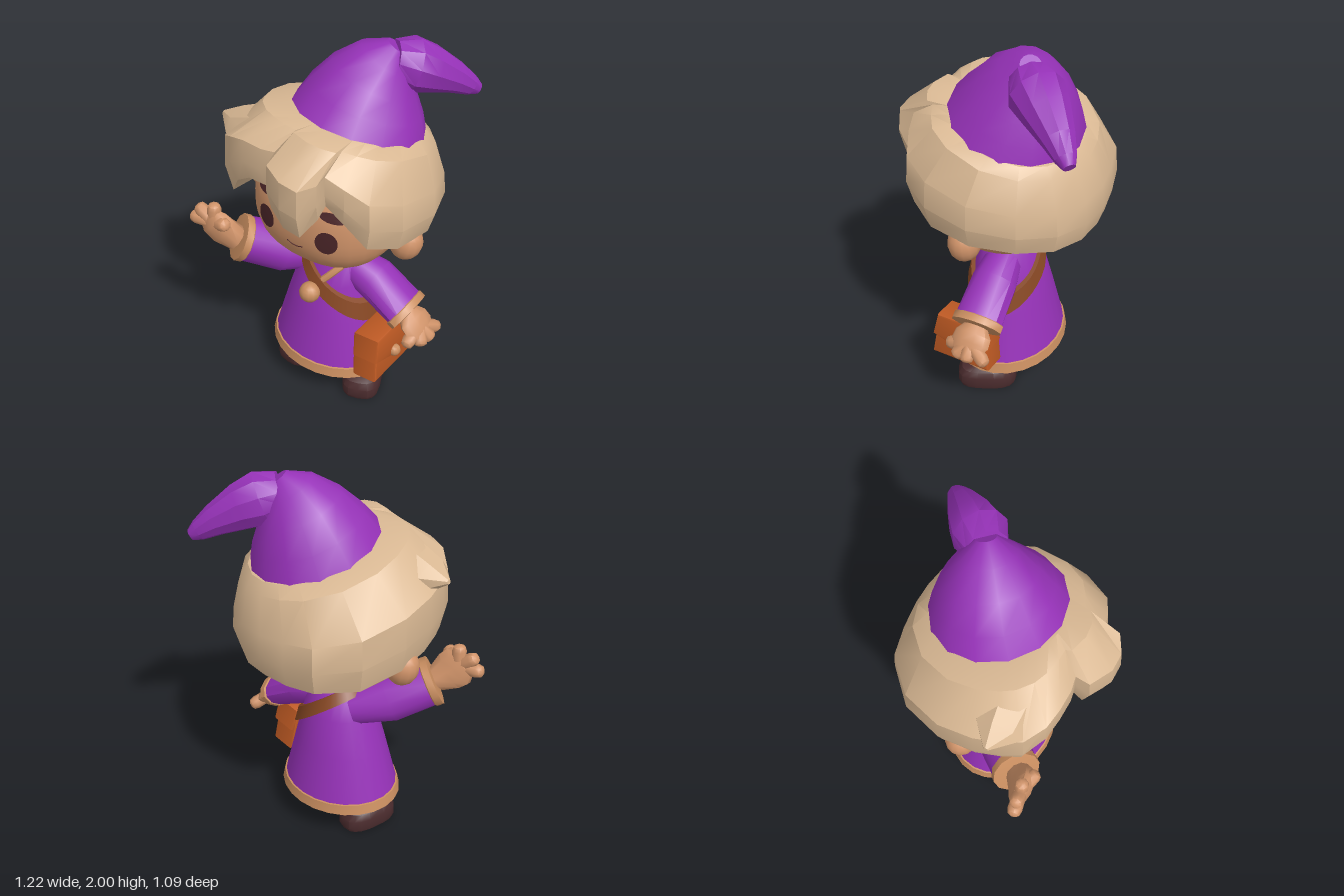
import * as THREE from 'three';
import { toCreasedNormals } from 'three/addons/utils/BufferGeometryUtils.js';

const V = (x, y, z) => new THREE.Vector3(x, y, z);
const { lerp, clamp, degToRad } = THREE.MathUtils;

const colors = { skin: 0xd1946a, trim: 0xc98e60, hair: 0xdab994, purple: 0x9632b8, strap: 0x864723,
  bag: 0xbd5923, shoe: 0x4a2b2d, eye: 0x4a2528 };
const mats = {};
for (const [name, color] of Object.entries(colors)) {
  mats[name] = new THREE.MeshStandardMaterial({ color });
  mats[name].name = name;
}

function add(parent, name, geo, mat, crease = 0.6) {
  const mesh = new THREE.Mesh(crease ? toCreasedNormals(geo, crease) : geo, mats[mat]);
  mesh.name = name;
  parent.add(mesh);
  return mesh;
}

// Skin a stack of closed rings, with optional fan caps
function loft(rings, capStart = true, capEnd = true) {
  const n = rings[0].length, pos = [], idx = [];
  rings.forEach(r => r.forEach(p => pos.push(p.x, p.y, p.z)));
  for (let j = 0; j < rings.length - 1; j++) for (let i = 0; i < n; i++) {
    const a = j * n + i, b = j * n + (i + 1) % n;
    idx.push(a, b, b + n, a, b + n, a + n);
  }
  const cap = (j, flip) => {
    const c = rings[j].reduce((s, p) => s.add(p), V(0, 0, 0)).divideScalar(n);
    const k = pos.push(c.x, c.y, c.z) / 3 - 1;
    for (let i = 0; i < n; i++) {
      const a = j * n + i, b = j * n + (i + 1) % n;
      flip ? idx.push(k, b, a) : idx.push(k, a, b);
    }
  };
  if (capStart) cap(0, true);
  if (capEnd) cap(rings.length - 1, false);
  const g = new THREE.BufferGeometry();
  g.setAttribute('position', new THREE.Float32BufferAttribute(pos, 3));
  g.setIndex(idx);
  return g;
}

// Tapered limb through rows of [x, y, z, radius, second radius]
function limb(rows, n = 12) {
  const c = rows.map(r => V(r[0], r[1], r[2]));
  return loft(rows.map((r, j) => {
    const t = c[Math.min(j + 1, c.length - 1)].clone().sub(c[Math.max(j - 1, 0)]).normalize();
    const ref = Math.abs(t.z) > 0.95 ? V(0, 1, 0) : V(0, 0, 1);
    const u = ref.addScaledVector(t, -ref.dot(t)).normalize(), v = t.clone().cross(u);
    return Array.from({ length: n }, (_, i) => {
      const a = i / n * Math.PI * 2;
      return c[j].clone().addScaledVector(u, Math.cos(a) * r[3]).addScaledVector(v, Math.sin(a) * (r[4] ?? r[3]));
    });
  }));
}

// Robe profile: y, half width, half depth, centre x; the neckline dips at the front
const robeRows = [[0.19, 0.345, 0.285, 0.005], [0.25, 0.328, 0.272, 0.005], [0.5, 0.258, 0.222, 0.005],
  [0.7, 0.197, 0.182, 0.01], [0.82, 0.16, 0.142, 0.02], [0.88, 0.115, 0.105, 0.03]];
function robeAt(y) {
  let j = 0;
  while (j < robeRows.length - 2 && y > robeRows[j + 1][0]) j++;
  const a = robeRows[j], b = robeRows[j + 1], t = clamp((y - a[0]) / (b[0] - a[0]), 0, 1);
  return a.map((v, k) => lerp(v, b[k], t));
}
function robePoint(y, a, out = 0) {
  const [, rx, rz, cx] = robeAt(y);
  const x = cx + Math.sin(a) * (rx + out);
  const dip = y < 0.3 ? 0.05 * x : y > 0.86 ? 0.05 * Math.max(0, Math.cos(a)) : 0;
  return V(x, y - dip, 0.015 + Math.cos(a) * (rz + out));
}
const around = (n, f) => Array.from({ length: n }, (_, i) => f(i / n * Math.PI * 2));

// Rounded head form and its front surface
const H = { x: 0.03, y: 1.2, z: 0.035, rx: 0.385, ry: 0.325, rz: 0.35, n: 2.5 };
function faceZ(x, y) {
  const s = 1 - Math.abs((x - H.x) / H.rx) ** H.n - Math.abs((y - H.y) / H.ry) ** H.n;
  return H.z + H.rz * Math.max(s, 0) ** (1 / H.n);
}
function facePatch(x, y, w, h, roll) {
  const g = new THREE.CircleGeometry(1, 24).scale(w, h, 1).rotateZ(roll).translate(x, y, 0);
  const p = g.attributes.position;
  for (let i = 0; i < p.count; i++) p.setZ(i, faceZ(p.getX(i), p.getY(i)) + 0.009);
  g.computeVertexNormals();
  return g;
}

function buildHead(root) {
  const g = new THREE.SphereGeometry(1, 32, 22), p = g.attributes.position;
  for (let i = 0; i < p.count; i++) {
    const d = V(0, 0, 0).fromBufferAttribute(p, i);
    const k = (Math.abs(d.x) ** H.n + Math.abs(d.y) ** H.n + Math.abs(d.z) ** H.n) ** (-1 / H.n);
    p.setXYZ(i, H.x + d.x * k * H.rx, H.y + d.y * k * H.ry, H.z + d.z * k * H.rz);
  }
  add(root, 'head', g, 'skin', 1);
  for (const [name, x, y, roll] of [['leftEar', 0.455, 1.085, -0.25], ['rightEar', -0.42, 1.13, 0.25]]) {
    const ear = add(root, name, new THREE.SphereGeometry(1, 14, 10).scale(0.085, 0.1, 0.08), 'skin', 1);
    ear.position.set(x, y, 0.025);
    ear.rotation.z = roll;
  }
  add(root, 'rightEye', facePatch(-0.125, 1.19, 0.054, 0.066, -0.12), 'eye', 0);
  add(root, 'leftEye', facePatch(0.225, 1.175, 0.053, 0.066, -0.12), 'eye', 0);
  add(root, 'rightBrow', facePatch(-0.128, 1.338, 0.065, 0.026, 0.1), 'eye', 0);
  add(root, 'leftBrow', facePatch(0.25, 1.318, 0.065, 0.025, -0.2), 'eye', 0);
  add(root, 'mouth', limb([[0, 1.105], [0.02, 1.092], [0.045, 1.087], [0.07, 1.09], [0.092, 1.1]]
    .map(([x, y]) => [x, y, faceZ(x, y), 0.0025]), 6), 'eye');
}

function buildHair(root) {
  // Outline: angle from the front towards the left, radius, lower edge height
  const rows = [[-180, 0.5, 1.09], [-163, 0.5, 1.085], [-145, 0.53, 1.095], [-120, 0.535, 1.11], [-95, 0.53, 1.16],
    [-75, 0.53, 1.19], [-60, 0.54, 1.21], [-50, 0.55, 1.21], [-38, 0.53, 1.34], [-28, 0.49, 1.4], [-16, 0.45, 1.4],
    [-7, 0.42, 1.42], [-5, 0.49, 1.33], [8, 0.55, 1.3], [18, 0.57, 1.285], [27, 0.55, 1.39], [30, 0.48, 1.42],
    [40, 0.51, 1.34], [52, 0.55, 1.21], [70, 0.55, 1.16], [95, 0.545, 1.14], [120, 0.535, 1.12], [142, 0.52, 1.09],
    [162, 0.51, 1.085]];
  const topY = (x, z) => 1.62 + 0.27 * (z + 0.07) - 0.12 * (x - 0.1);
  const ring = f => rows.map(([deg, r, yb]) => {
    const a = degToRad(deg), s = Math.sin(a), c = Math.cos(a);
    return f(s, c, r, yb, topY(0.02 + s * r, c * r));
  });
  const side = (k, t) => ring((s, c, r, yb, yt) => V(0.02 + s * r * k, lerp(yb, yt, t), c * r * k));
  const crown = (t, dy) => ring((s, c, r) => {
    const x = lerp(0.1 + s * 0.325, 0.02 + s * r, t), z = lerp(-0.07 + c * 0.325, c * r, t);
    return V(x, topY(x, z) + dy, z);
  });
  add(root, 'hair', loft([side(0.6, 0.2), side(0.94, 0), side(1, 0.26), side(0.98, 0.55),
    crown(0.4, -0.03), crown(0, 0.01)]), 'hair', 0.5);
  add(root, 'hairTuft', limb([[-0.22, 1.57, 0.2, 0.15, 0.12], [-0.4, 1.54, 0.22, 0.12, 0.08],
    [-0.51, 1.555, 0.22, 0.012]], 7), 'hair', 0.5);
}

function buildHat(root) {
  add(root, 'hatCone', limb([[0.1, 1.61, -0.067, 0.34], [0.115, 1.72, -0.1, 0.288], [0.14, 1.82, -0.13, 0.222],
    [0.175, 1.912, -0.165, 0.14], [0.21, 1.972, -0.195, 0.05]], 14), 'purple');
  add(root, 'hatTail', limb([[0.2, 1.9, -0.18, 0.1], [0.26, 1.87, -0.25, 0.135], [0.32, 1.83, -0.33, 0.115],
    [0.4, 1.765, -0.43, 0.078], [0.45, 1.715, -0.49, 0.052], [0.475, 1.69, -0.52, 0.03]], 10), 'purple');
}

function buildArm(root, side, sleeve, wrist, palm, tips) {
  const arm = new THREE.Group();
  arm.name = side + 'Arm';
  root.add(arm);
  add(arm, side + 'Sleeve', limb(sleeve), 'purple');
  // Cuff band over the end of the sleeve
  const [m, e] = sleeve.slice(-2);
  const at = (t, grow) => [0, 1, 2].map(k => lerp(m[k], e[k], t)).concat(e[3] + grow, e[4] + grow);
  add(arm, side + 'Cuff', limb([at(0.86, 0.003), at(0.88, 0.008), at(1.03, 0.008), at(1.04, -0.01)]), 'trim');
  add(arm, side + 'Palm', limb([wrist, ...palm], 10), 'skin', 0.9);
  const base = palm[1];
  tips.forEach((t, i) => {
    const q = (k, r) => [0, 1, 2].map(d => lerp(base[d], t[d], k)).concat(r);
    add(arm, side + 'Finger' + (i + 1), limb([q(0.1, 0.035), q(0.75, 0.037), q(0.93, 0.03), q(1, 0.014)], 8), 'skin', 0.9);
  });
}

function buildRobe(root) {
  add(root, 'robe', loft(robeRows.map(r => around(24, a => robePoint(r[0], a)))), 'purple');
  add(root, 'hem', loft([[0.18, 0], [0.183, 0.008], [0.237, 0.008], [0.24, -0.004]]
    .map(([y, o]) => around(24, a => robePoint(y, a, o)))), 'trim');
  add(root, 'neck', new THREE.CylinderGeometry(0.08, 0.095, 0.16, 14).translate(0.03, 0.86, 0.028), 'skin', 1);
  // Crossed collar edge
  add(root, 'collar', limb([[0.87, 1.1], [0.82, 0.75], [0.77, 0.42], [0.7, 0.08]].map(([y, a]) => {
    const p = robePoint(y, a, 0.002);
    return [p.x, p.y, p.z, 0.019];
  }), 8), 'trim');
  add(root, 'clasp', new THREE.SphereGeometry(0.056, 12, 9).translate(0.02, 0.675, 0.237), 'trim', 1);
}

function buildBag(root) {
  // Strap: a slanted band that hugs the robe
  const strapRing = (c, out) => around(36, a => {
    let y = 0.7;
    for (let i = 0; i < 40; i++) y = lerp(y, c - 0.78 * robePoint(y, a, out).x, 0.4);
    const p = robePoint(y, a, out);
    p.y = y;
    return p;
  });
  const lo = 0.715, hi = 0.795;
  add(root, 'strap', loft([strapRing(lo, 0.002), strapRing(lo, 0.022), strapRing(hi, 0.022), strapRing(hi, 0.002)],
    false, false), 'strap');
  const bag = new THREE.Group();
  bag.name = 'bag';
  bag.position.set(0.37, 0.4, 0.08);
  bag.rotation.set(0, Math.PI / 2, 0.1, 'ZYX');
  root.add(bag);
  const slab = (points, z0, z1) => {
    const b = 0.012, s = new THREE.Shape(points.map(p => new THREE.Vector2(...p)));
    return new THREE.ExtrudeGeometry(s, { depth: z1 - z0 - 2 * b, bevelSize: b, bevelThickness: b, bevelSegments: 2 })
      .translate(0, 0, z0 + b);
  };
  add(bag, 'bagBody', slab([[-0.155, -0.115], [0.155, -0.115], [0.125, 0.1], [-0.125, 0.1]], -0.075, 0.07), 'bag');
  add(bag, 'bagFlap', slab([[-0.148, 0.01], [0, -0.035], [0.148, 0.01], [0.125, 0.12], [-0.125, 0.12]], -0.07, 0.084), 'bag');
  add(bag, 'bagButton', new THREE.SphereGeometry(0.034, 10, 8).translate(0, -0.015, 0.082), 'trim', 1);
}

function buildLeg(root, side, legX, footX, turn) {
  add(root, side + 'Leg', new THREE.CylinderGeometry(0.08, 0.072, 0.2, 14).translate(legX, 0.18, -0.02), 'skin', 1);
  const sq = v => Math.sign(v) * Math.abs(v) ** 0.7;
  const shoe = loft([[0, 0.95], [0.02, 1], [0.07, 0.99], [0.105, 0.87], [0.13, 0.55]].map(([y, k]) => around(18, a =>
    V(sq(Math.sin(a)) * k * (0.102 + 0.014 * Math.cos(a)), y, sq(Math.cos(a)) * k * 0.16))));
  const mesh = add(root, side + 'Shoe', shoe, 'shoe');
  mesh.position.set(footX, 0, 0.04);
  mesh.rotation.y = turn;
}

export function createModel() {
  const root = new THREE.Group();
  root.name = 'wavingTraveller';
  buildHead(root);
  buildHair(root);
  buildHat(root);
  buildRobe(root);
  buildArm(root, 'right',
    [[-0.1, 0.735, -0.01, 0.09, 0.09], [-0.23, 0.795, 0.14, 0.13, 0.13], [-0.375, 0.895, 0.31, 0.115, 0.125]],
    [-0.38, 0.9, 0.33, 0.065, 0.07],
    [[-0.43, 0.955, 0.375, 0.06, 0.105], [-0.47, 0.995, 0.39, 0.052, 0.108], [-0.505, 1.03, 0.395, 0.03, 0.075]],
    [[-0.605, 1.005, 0.42], [-0.565, 1.08, 0.41], [-0.465, 1.115, 0.39], [-0.36, 1.045, 0.42]]);
  buildArm(root, 'left',
    [[0.08, 0.78, 0, 0.09, 0.09], [0.25, 0.715, -0.02, 0.12, 0.105], [0.455, 0.585, -0.03, 0.13, 0.085]],
    [0.45, 0.58, -0.03, 0.06, 0.045],
    [[0.49, 0.55, -0.03, 0.1, 0.05], [0.525, 0.52, -0.03, 0.105, 0.045], [0.56, 0.49, -0.03, 0.08, 0.025]],
    [[0.53, 0.475, 0.1], [0.585, 0.455, 0.03], [0.6, 0.455, -0.05], [0.575, 0.46, -0.15]]);
  buildBag(root);
  buildLeg(root, 'left', 0.19, 0.235, 0.4);
  buildLeg(root, 'right', -0.13, -0.175, -0.1);
  return root;
}
